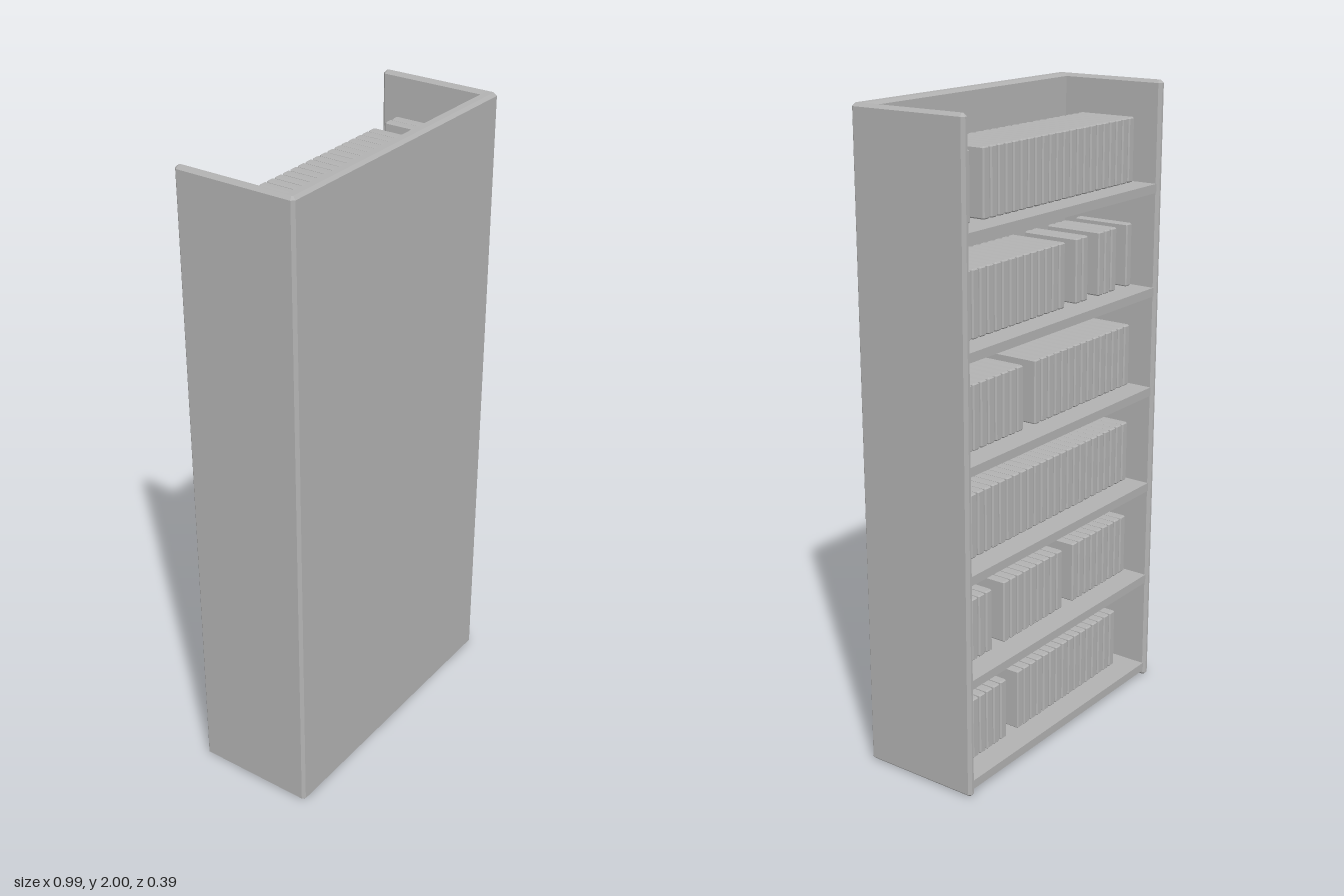
import * as THREE from 'three';

const grey = new THREE.MeshStandardMaterial({ color: 0xb2b2b2 });
grey.name = 'grey';

// Upright prism from an [x, z] outline, standing on y = 0, with chamfered top and bottom rims
function prism(outline, height, bevel) {
  const shape = new THREE.Shape(outline.map(([x, z]) => new THREE.Vector2(x, -z)));
  const geo = new THREE.ExtrudeGeometry(shape, {
    depth: height - 2 * bevel,
    bevelEnabled: true,
    bevelSize: bevel,
    bevelThickness: bevel,
    bevelOffset: -bevel,
    bevelSegments: 1,
  });
  geo.rotateX(-Math.PI / 2);
  geo.translate(0, bevel, 0);
  return geo;
}

function add(parent, name, geo, x = 0, y = 0, z = 0) {
  const mesh = new THREE.Mesh(geo, grey);
  mesh.name = name;
  mesh.position.set(x, y, z);
  parent.add(mesh);
  return mesh;
}

export function createModel() {
  const model = new THREE.Group();
  model.name = 'bookcase';

  // Case: two sides and a closed panel in one U-shaped piece, open towards -z
  const W = 0.493, D = 0.194, inX = 0.467, inZ = 0.153, c = 0.009;
  const half = [
    [W, D - c], [W, -D + c], [W - c, -D], [inX + c, -D], [inX, -D + c], [inX, inZ],
  ];
  const outline = [
    [W - c, D], ...half,
    ...half.slice().reverse().map(([x, z]) => [-x, z]),
    [-W + c, D],
  ];
  add(model, 'caseShell', prism(outline, 2, c));

  // Shelves
  const thick = 0.028, frontZ = -0.187, pitchY = 0.328, floorTop = 0.046;
  const shelfGeo = new THREE.BoxGeometry(2 * inX + 0.01, thick, inZ - frontZ + 0.005);

  // Books: chamfered blocks of one size
  const bw = 0.0285, bd = 0.195, bh = 0.2, b = 0.004;
  const x = bw / 2, z = bd / 2;
  const bookGeo = prism([
    [x, z - b], [x, -z + b], [x - b, -z], [-x + b, -z],
    [-x, -z + b], [-x, z - b], [-x + b, z], [x - b, z],
  ], bh, b);

  // Runs of books on each shelf, bottom to top: [first slot, count]
  const rows = [
    [[1.5, 16], [19, 7]],
    [[0, 9], [10.5, 9], [21, 5]],
    [[0, 25]],
    [[0, 15], [16.5, 9]],
    [[0, 1], [2.5, 3], [7, 2], [10.5, 15]],
    [[0, 22], [23.5, 2]],
  ];
  rows.forEach((runs, i) => {
    const top = floorTop + i * pitchY;
    add(model, 'shelf', shelfGeo, 0, top - thick / 2, (inZ + 0.005 + frontZ) / 2);
    const row = new THREE.Group();
    row.name = 'bookRow';
    for (const [start, count] of runs) {
      for (let k = 0; k < count; k++) {
        add(row, 'book', bookGeo, -0.441 + 0.0347 * (start + k), top, -0.0135);
      }
    }
    model.add(row);
  });

  return model;
}
